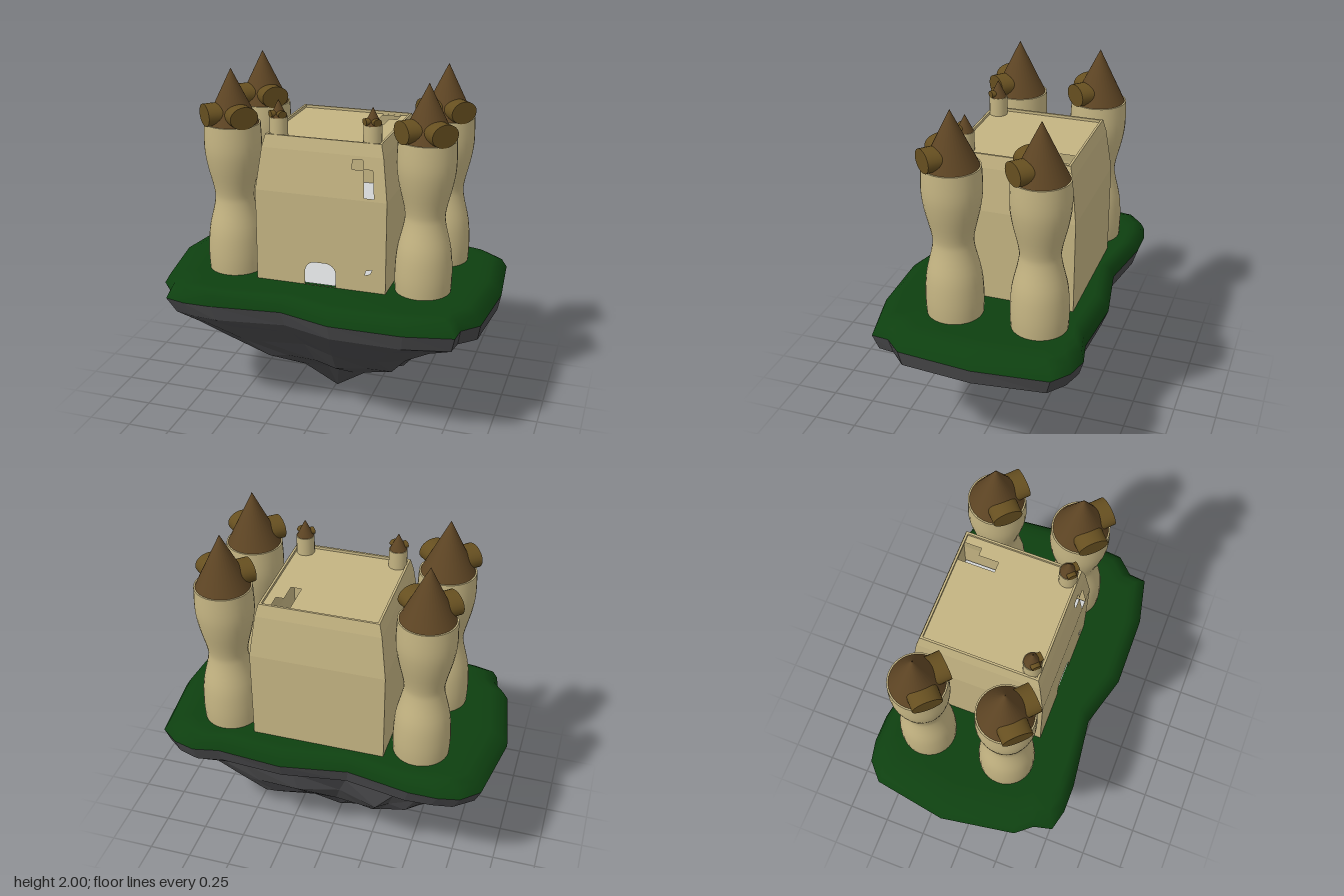
import * as THREE from 'three';

const V2 = (x, y) => new THREE.Vector2(x, y);

export function createModel() {
  const model = new THREE.Group();
  const mat = (name, color, opts = {}) => new THREE.MeshStandardMaterial({ name, color, ...opts });
  const stone = mat('sandstone', 0xc4b482);
  const wallStone = mat('wall sandstone', 0xc4b482, { side: THREE.DoubleSide });
  const roofBrown = mat('roof brown', 0x5e4524);
  const petalBrown = mat('petal brown', 0x664f20);
  const grass = mat('grass green', 0x0e4010);
  const rock = mat('rock grey', 0x48484a, { flatShading: true });
  const pale = mat('pale floor', 0xd0d2d4, { side: THREE.DoubleSide });

  const add = (parent, name, geo, material) => {
    const m = new THREE.Mesh(geo, material);
    m.name = name;
    parent.add(m);
    return m;
  };

  // Floating island: one outline lofted through scaled rings
  const outline = [
    [-0.99, -0.08], [-0.92, -0.5], [-0.82, -0.59], [-0.7, -0.615], [-0.54, -0.615], [-0.18, -0.55],
    [0.2, -0.615], [0.575, -0.585], [0.72, -0.615], [0.845, -0.58], [0.945, -0.5], [0.985, -0.08],
    [0.945, 0.345], [0.855, 0.44], [0.845, 0.54], [0.575, 0.6], [0.16, 0.605], [-0.14, 0.52],
    [-0.54, 0.57], [-0.7, 0.57], [-0.82, 0.54], [-0.845, 0.435], [-0.92, 0.345],
  ];
  let seed = 7;
  const rand = () => ((seed = (seed * 16807) % 2147483647) / 2147483647) - 0.5;
  // ring: [y, x scale, z scale, x offset, z offset, jitter]
  const loft = (rings) => {
    const n = outline.length, pos = [], idx = [];
    rings.forEach(([y, sx, sz, ox, oz, jitter]) => outline.forEach(([x, z]) => {
      const k = 1 + rand() * jitter;
      pos.push(x * sx * k + ox, y + rand() * jitter * 0.25, z * sz * k + oz);
    }));
    for (let i = 0; i < rings.length - 1; i++) for (let j = 0; j < n; j++) {
      const a = i * n + j, b = i * n + (j + 1) % n;
      idx.push(a, b, a + n, b, b + n, a + n);
    }
    const g = new THREE.BufferGeometry();
    g.setAttribute('position', new THREE.Float32BufferAttribute(pos, 3));
    g.setIndex(idx);
    g.computeVertexNormals();
    return g;
  };
  add(model, 'grassTop', loft([
    [0.825, 0, 0, 0, 0, 0], [0.825, 0.82, 0.85, 0.02, 0, 0], [0.82, 0.91, 0.91, 0.01, 0, 0],
    [0.79, 0.97, 0.97, 0, 0, 0], [0.74, 1, 1, 0, 0, 0],
  ]), grass);
  add(model, 'rockBase', loft([
    [0.74, 1, 1, 0, 0, 0], [0.65, 0.965, 0.95, 0.01, 0, 0.02], [0.58, 0.8, 0.81, 0.01, 0.005, 0.06],
    [0.45, 0.61, 0.69, 0.02, -0.035, 0.09], [0.32, 0.46, 0.54, 0.035, -0.045, 0.12],
    [0.2, 0.235, 0.26, 0.03, -0.06, 0.12], [0, 0, 0, 0.01, -0.065, 0],
  ]), rock);

  // Keep: planar trapezoid bands on four sides, leaning in towards the top
  const keep = new THREE.Group();
  keep.name = 'keep';
  keep.position.set(0.02, 0, -0.085);
  model.add(keep);
  const poly = (pts) => new THREE.Path(pts.map(([x, y]) => V2(x, y)));

  const door = new THREE.Path();
  door.moveTo(-0.09, 0.827);
  door.lineTo(0.09, 0.827);
  door.lineTo(0.09, 0.905);
  door.absarc(0.03, 0.905, 0.06, 0, Math.PI / 2, false);
  door.lineTo(-0.03, 0.965);
  door.absarc(-0.03, 0.905, 0.06, Math.PI / 2, Math.PI, false);
  door.closePath();
  const peephole = poly([[0.26, 0.925], [0.29, 0.935], [0.3, 0.96], [0.265, 0.952]]);
  const window_ = poly([[0.175, 1.525], [0.24, 1.525], [0.25, 1.375], [0.305, 1.375],
    [0.29, 1.53], [0.235, 1.53], [0.235, 1.58], [0.175, 1.58]]);

  const levels = [[0.81, 0.378], [1.36, 0.378], [1.6, 0.347], [1.67, 0.33]];
  for (let side = 0; side < 4; side++) {
    for (let i = 0; i < 3; i++) {
      const [y0, h0] = levels[i], [y1, h1] = levels[i + 1];
      const s = new THREE.Shape([V2(-h0, y0), V2(h0, y0), V2(h1, y1), V2(-h1, y1)]);
      if (side === 0 && i === 0) s.holes.push(door, peephole);
      if (side === 0 && i === 1) s.holes.push(window_);
      const g = new THREE.ShapeGeometry(s, 8);
      const p = g.attributes.position;
      for (let k = 0; k < p.count; k++) {
        p.setZ(k, h0 + (h1 - h0) * (p.getY(k) - y0) / (y1 - y0));
      }
      g.computeVertexNormals();
      g.rotateY(side * Math.PI / 2);
      add(keep, 'keepWall', g, wallStone);
    }
    // Low rim around the roof
    const rim = new THREE.BoxGeometry(0.66, 0.025, 0.012).translate(0, 1.658, 0.323);
    add(keep, 'roofRim', rim.rotateY(side * Math.PI / 2), stone);
  }

  // Roof slab with a notched opening (shape y becomes -z)
  const roofShape = new THREE.Shape([V2(-0.33, -0.33), V2(0.33, -0.33), V2(0.33, 0.33), V2(-0.33, 0.33)]);
  roofShape.holes.push(poly([[0.165, 0.105], [0.225, 0.105], [0.225, 0.22], [0.27, 0.22],
    [0.27, 0.315], [0.165, 0.315]]));
  add(keep, 'keepRoof', new THREE.ShapeGeometry(roofShape).rotateX(-Math.PI / 2).translate(0, 1.655, 0), wallStone);
  for (const y of [0.832, 1.2]) {
    add(keep, 'innerFloor', new THREE.PlaneGeometry(0.74, 0.74).rotateX(-Math.PI / 2).translate(0, y, 0), pale);
  }

  // Spire: pointed cone with two round lobes at the front
  const spire = (scale) => {
    const g = new THREE.Group();
    g.name = 'spire';
    add(g, 'coneRoof', new THREE.ConeGeometry(0.152, 0.31, 32).translate(0, 0.155, 0), roofBrown);
    for (const s of [-1, 1]) {
      const lobe = new THREE.CylinderGeometry(0.063, 0.063, 0.1, 24).rotateX(Math.PI / 2);
      lobe.scale(1.32, 1, 1).translate(0, 0.06, 0.112).rotateY(s * 0.82);
      add(g, 'frontLobe', lobe, petalBrown);
    }
    g.scale.setScalar(scale);
    return g;
  };

  // Four waisted corner towers
  const profile = new THREE.SplineCurve([
    V2(0.154, 0.8), V2(0.16, 0.92), V2(0.15, 1.07), V2(0.116, 1.22), V2(0.114, 1.3),
    V2(0.148, 1.45), V2(0.162, 1.56), V2(0.158, 1.695),
  ]).getPoints(28);
  for (const x of [-0.54, 0.578]) for (const z of [0.155, -0.328]) {
    const tower = new THREE.Group();
    tower.name = 'cornerTower';
    tower.position.set(x, 0, z);
    add(tower, 'towerBody', new THREE.LatheGeometry(profile, 32), stone);
    add(tower, 'towerTop', new THREE.CircleGeometry(0.158, 32).rotateX(-Math.PI / 2).translate(0, 1.695, 0), stone);
    const top = spire(1);
    top.position.y = 1.69;
    tower.add(top);
    model.add(tower);
  }

  // Two small turrets on the front of the keep
  for (const x of [-0.25, 0.285]) {
    const turret = new THREE.Group();
    turret.name = 'smallTurret';
    turret.position.set(x, 0, 0.19);
    add(turret, 'turretBody', new THREE.CylinderGeometry(0.051, 0.051, 0.11, 20).translate(0, 1.705, 0), stone);
    const top = spire(0.31);
    top.position.y = 1.76;
    turret.add(top);
    model.add(turret);
  }
  return model;
}
